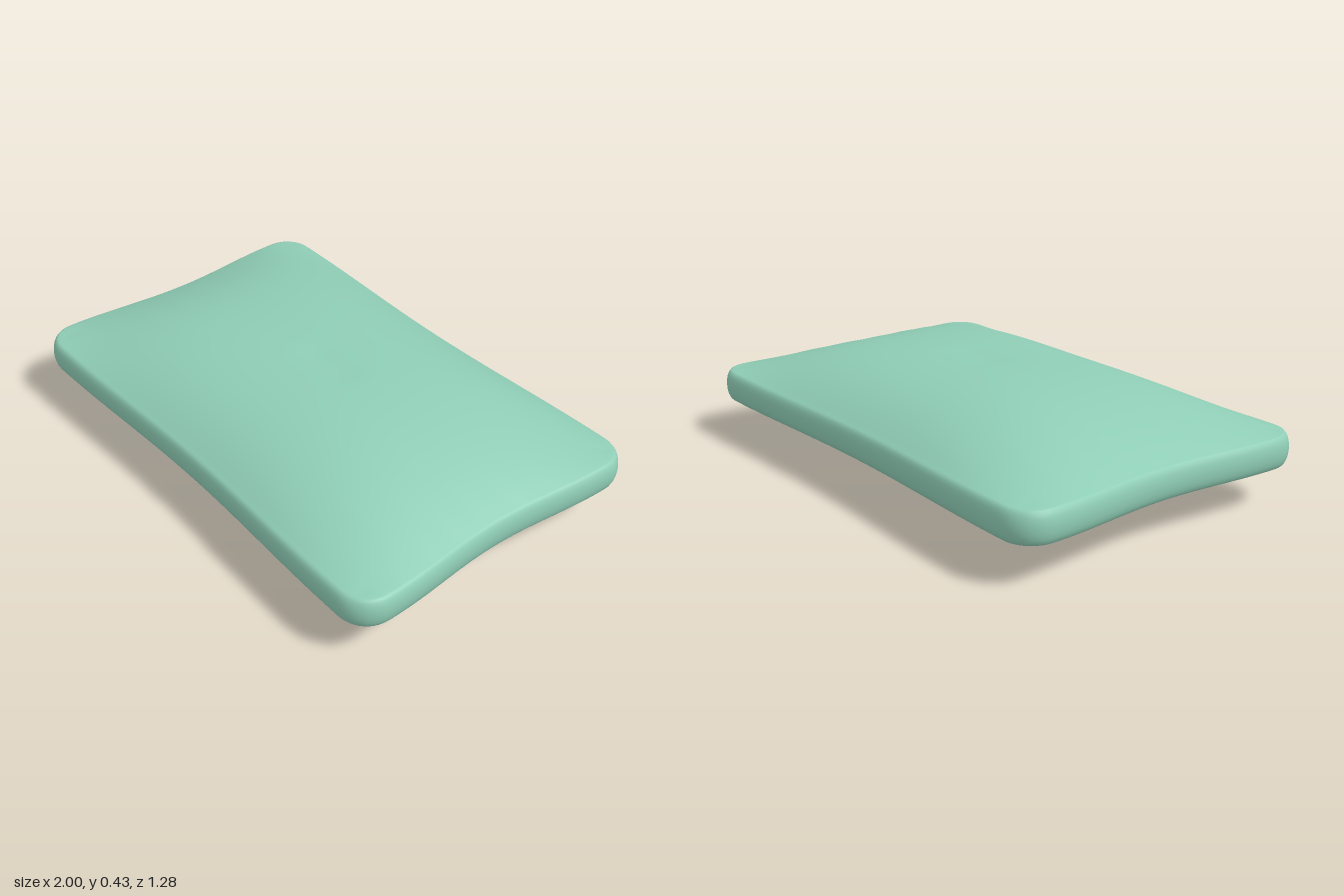
import * as THREE from 'three';
import { mergeVertices } from 'three/addons/utils/BufferGeometryUtils.js';

const HALF_X = 0.975, HALF_Z = 0.615; // seam outline
const CORNER = 0.1;                   // corner radius in plan
const RIM = 0.06, RIM_OUT = 0.025;    // rounded border: half height, overhang
const BULGE = 0.155;                  // stuffing above the border

// 1 in the middle of an edge, easing to 0 at its corners
const pinch = (s) => 0.5 + 0.5 * Math.cos(Math.PI * Math.min(1, Math.abs(s)));

// Moves a point of a unit block (each coordinate -1..1) onto the cushion
function shapePoint(u, t, v) {
  // plan: rounded rectangle, pushed out around the rim
  const coreX = HALF_X - CORNER, coreZ = HALF_Z - CORNER;
  const px = Math.abs(u) * HALF_X, pz = Math.abs(v) * HALF_Z;
  let dx = Math.max(0, px - coreX), dz = Math.max(0, pz - coreZ);
  const len = Math.hypot(dx, dz);
  const edge = Math.max(Math.abs(u), Math.abs(v)) > 0.9999;
  const out = edge ? 1 + (RIM_OUT * Math.cos(t * Math.PI / 2)) / CORNER : 1;
  const k = len > 0 ? (Math.max(dx, dz) / len) * out : 0;
  dx *= k;
  dz *= k;
  let x = Math.sign(u) * (Math.min(px, coreX) + dx);
  let z = Math.sign(v) * (Math.min(pz, coreZ) + dz);

  // edges drawn inwards between the corners
  const sx = x / coreX, sz = z / coreZ;
  x *= 1 - 0.036 * pinch(sz);
  z *= 1 - 0.04 * pinch(sx);

  // stuffing, with faint gathers along the short edges
  const fu = 1 - Math.abs(u) ** 3, fv = 1 - Math.abs(v) ** 2.8;
  let h = BULGE * fu * fv;
  h += 0.0025 * Math.cos(v * 28) * fv * fu * Math.abs(u) ** 6 * 2;
  // shallow crease in the middle
  h -= 0.005 * Math.exp(-((z / 0.06) ** 2)) * Math.exp(-(((x - 0.05) / 0.13) ** 4));

  const side = Math.abs(t) > 0.9999 ? Math.sign(t) : 0;
  const y = RIM * Math.sin(t * Math.PI / 2) + side * h;
  return [x, y + RIM + BULGE, z];
}

export function createModel() {
  const group = new THREE.Group();
  group.name = 'pillow';

  let geometry = new THREE.BoxGeometry(2, 2, 2, 96, 10, 72);
  geometry.deleteAttribute('uv');
  geometry.deleteAttribute('normal');
  const pos = geometry.attributes.position;
  for (let i = 0; i < pos.count; i++) {
    pos.setXYZ(i, ...shapePoint(pos.getX(i), pos.getY(i), pos.getZ(i)));
  }
  geometry = mergeVertices(geometry, 1e-5);
  geometry.computeVertexNormals();

  const cushion = new THREE.Mesh(geometry, new THREE.MeshStandardMaterial({ color: 0x8fcdb6 }));
  cushion.name = 'cushion';
  group.add(cushion);
  return group;
}
